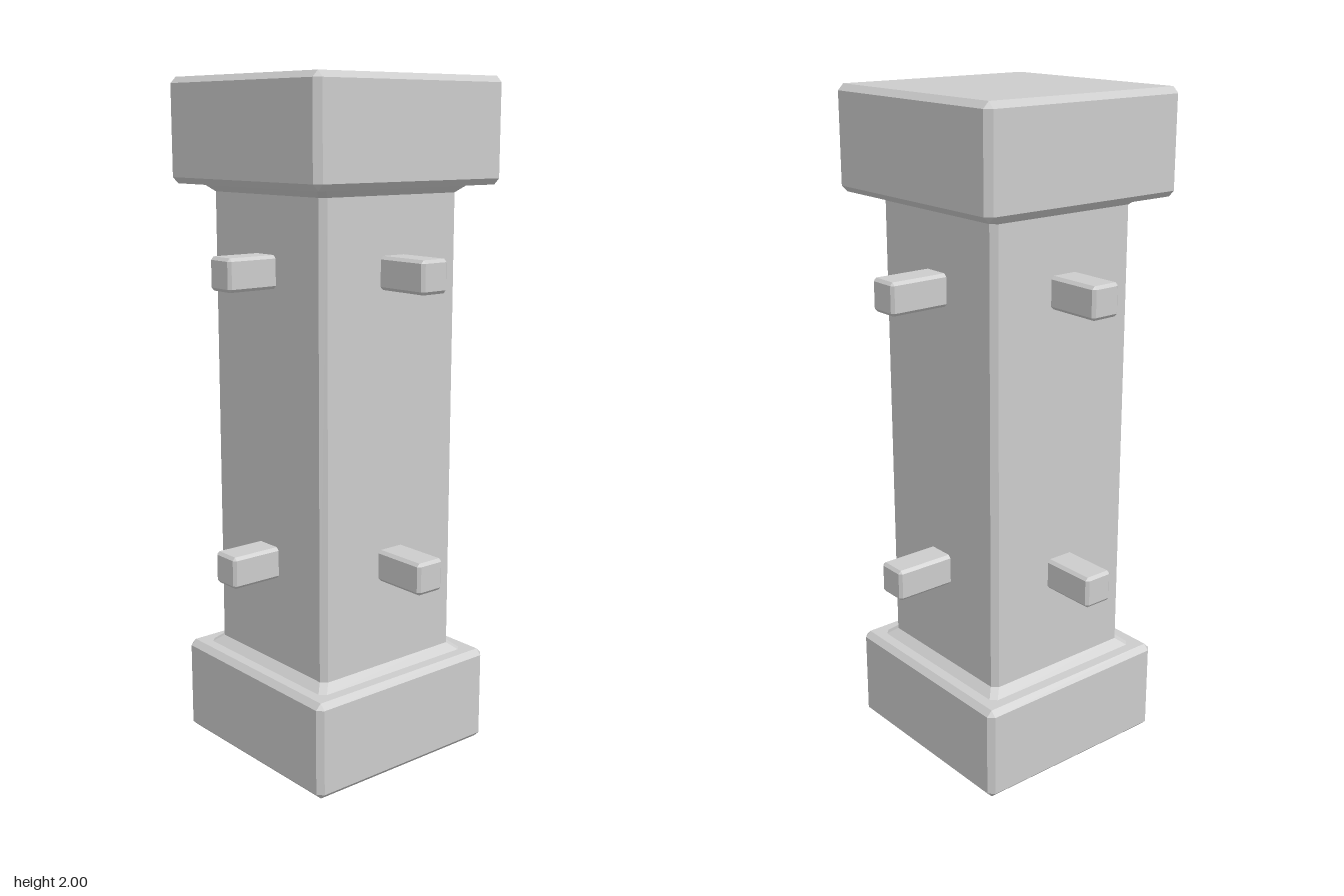
import * as THREE from 'three';

const material = new THREE.MeshStandardMaterial({ color: 0xcccccc, flatShading: true });

// Square with cut corners, in the xz plane at height y
function ring([half, y, cut]) {
  const k = half - cut;
  return [[half, -k], [half, k], [k, half], [-k, half], [-half, k], [-half, -k], [-k, -half], [k, -half]]
    .map(([x, z]) => [x, y, z]);
}

// Stack of rings [half width, height, corner cut], closed at both ends
function loft(levels) {
  const rings = levels.map(ring);
  const pos = [];
  const tri = (...points) => points.forEach((p) => pos.push(...p));
  for (let i = 0; i < rings.length - 1; i++) {
    for (let j = 0; j < 8; j++) {
      const n = (j + 1) % 8;
      tri(rings[i][j], rings[i + 1][j], rings[i][n]);
      tri(rings[i][n], rings[i + 1][j], rings[i + 1][n]);
    }
  }
  const bottom = rings[0], top = rings[rings.length - 1];
  for (let j = 1; j < 7; j++) {
    tri(bottom[0], bottom[j], bottom[j + 1]);
    tri(top[0], top[j + 1], top[j]);
  }
  const geometry = new THREE.BufferGeometry();
  geometry.setAttribute('position', new THREE.Float32BufferAttribute(pos, 3));
  geometry.computeVertexNormals();
  return geometry;
}

// Square block with every edge chamfered by c
function chamferedBlock(half, y0, y1, c) {
  return loft([[half - c, y0, 0], [half, y0 + c, c], [half, y1 - c, c], [half - c, y1, 0]]);
}

export function createModel() {
  const group = new THREE.Group();
  const add = (name, geometry, x, y, z) => {
    const mesh = new THREE.Mesh(geometry, material);
    mesh.name = name;
    mesh.position.set(x, y, z);
    group.add(mesh);
    return mesh;
  };
  const cz = 0.012; // the pillar sits slightly forward of the pegs

  // Base and cap blocks
  add('base', chamferedBlock(0.327, 0, 0.29, 0.017), 0, 0, cz);
  add('cap', chamferedBlock(0.341, 1.7, 2, 0.018), 0, 0, cz);

  // Shaft, flaring where it meets the blocks
  add('shaft', loft([
    [0.278, 0.285, 0.017], [0.278, 0.29, 0.017], [0.252, 0.312, 0.017],
    [0.252, 1.678, 0.017], [0.278, 1.7, 0.017], [0.278, 1.705, 0.017],
  ]), 0, 0, cz);

  // Two tiers of pegs, one on each side
  const peg = loft([[0.047, 0.2, 0.009], [0.047, 0.413, 0.009], [0.038, 0.421, 0]]);
  peg.rotateZ(-Math.PI / 2);
  const sides = ['left', 'back', 'right', 'front'];
  for (const [tier, y] of [['lower', 0.62], ['upper', 1.467]]) {
    sides.forEach((side, i) => {
      const mesh = add(`${tier} ${side} peg`, peg, 0, y, i % 2 ? 0 : 0.01);
      mesh.rotation.y = i * Math.PI / 2;
    });
  }
  return group;
}
